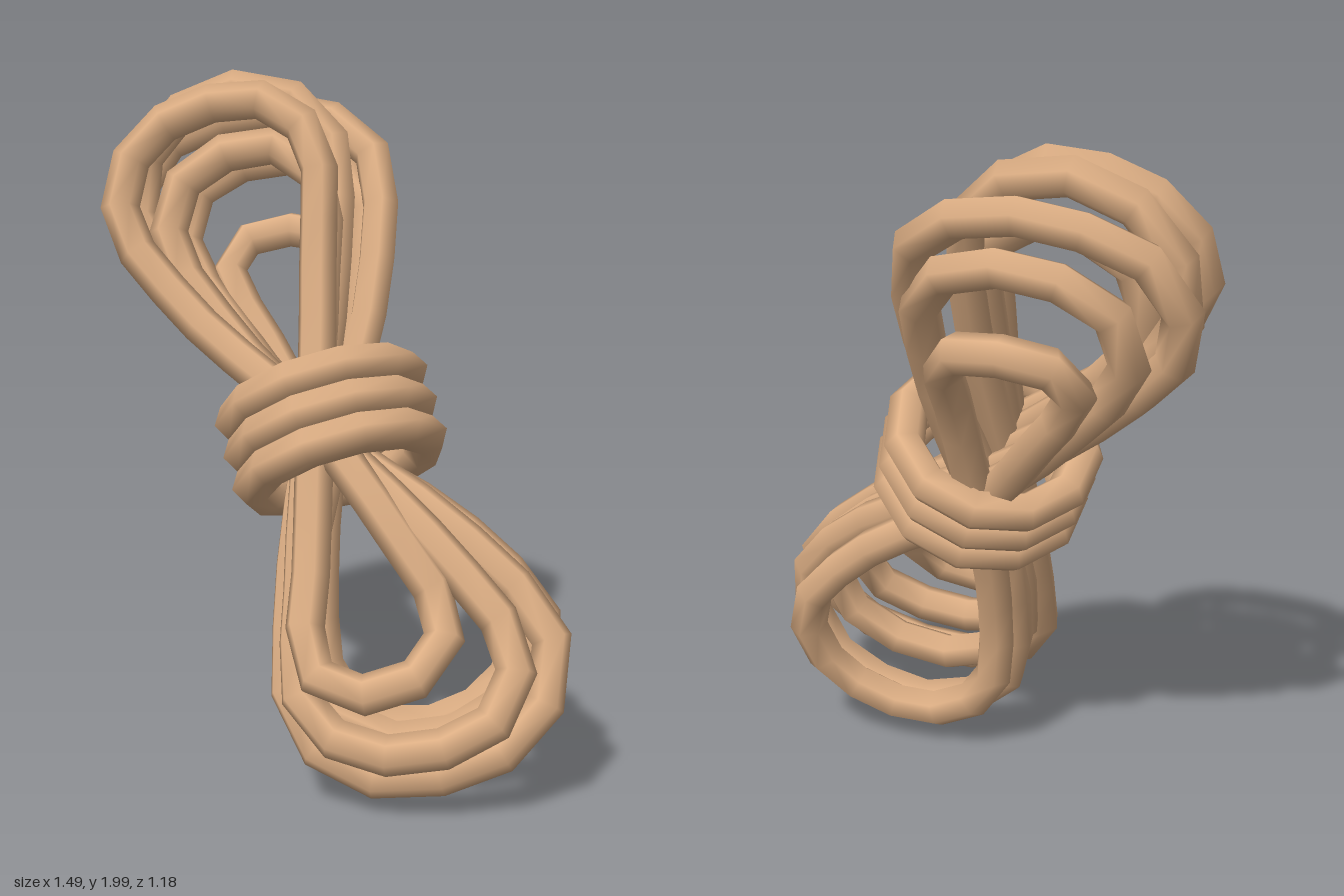
import * as THREE from 'three';

const RADIUS = 0.058;
const CENTRE = new THREE.Vector3(0, 0.975, 0);
const AXIS = new THREE.Vector3(-0.37, 0.85, -0.42).normalize(); // bundle direction
const FRONT = new THREE.Vector3(0, 0.44, 0.9).normalize();
const SIDE = new THREE.Vector3(1, 0.3, -0.15).normalize();

// Lobes from front to back: tip, outer corner, x of the upright strand
const UPPER = [
  [[-0.28, 1.92, -0.19], [-0.65, 1.58, -0.07], -0.05],
  [[-0.25, 1.78, -0.26], [-0.53, 1.5, -0.16], -0.05],
  [[-0.32, 1.94, -0.37], [-0.66, 1.56, -0.28], -0.03],
  [[-0.25, 1.86, -0.53], [-0.7, 1.54, -0.39], 0.075],
  [[-0.25, 1.72, -0.53], [-0.56, 1.46, -0.42], 0.04],
  [[-0.22, 1.49, -0.54], [-0.42, 1.37, -0.43], -0.04],
];
const LOWER = [
  [[0.17, 0.36, 0.51], [0.4, 0.54, 0.36], 0.01],
  [[0.27, 0.2, 0.53], [0.6, 0.46, 0.38], -0.02],
  [[0.25, 0.1, 0.46], [0.69, 0.46, 0.27], -0.06],
  [[0.28, 0.16, 0.32], [0.61, 0.5, 0.2], -0.04],
  [[0.28, 0.06, 0.18], [0.65, 0.46, 0.12], -0.06],
  [[0.23, 0.1, 0.04], [0.55, 0.45, -0.1], -0.04],
];

// Point in the tied waist of the bundle
function waist(front, side) {
  return CENTRE.clone().addScaledVector(FRONT, front).addScaledVector(SIDE, side);
}

// Path of one lobe: slanted strand, corner, shoulder, tip, inner shoulder, upright strand
function lobe([tipPoint, cornerPoint, strandX], slantStart, strandEnd) {
  const tip = new THREE.Vector3(...tipPoint);
  const corner = new THREE.Vector3(...cornerPoint);
  const mix = THREE.MathUtils.lerp;
  const slant = slantStart.clone().lerp(corner, 0.62);
  slant.y += 0.2 * (corner.y - tip.y);
  const shoulder = new THREE.Vector3(
    mix(corner.x, tip.x, 0.16), mix(corner.y, tip.y, 0.66), mix(corner.z, tip.z, 0.6));
  const inner = new THREE.Vector3(
    mix(strandX, tip.x, 0.2), mix(tip.y, corner.y, 0.32), mix(tip.z, strandEnd.z, 0.1));
  const strand = inner.clone().lerp(strandEnd, 0.45).setX(strandX);
  return [slant, corner, shoulder, tip, inner, strand];
}

export function createModel() {
  const group = new THREE.Group();
  const material = new THREE.MeshStandardMaterial({ color: 0xdcae84 });

  // Rope loops, each a figure eight crossing itself at the waist
  UPPER.forEach((upper, i) => {
    const depth = 0.17 - i * 0.068;
    const slanted = waist(depth, -0.03);
    const upright = waist(depth * 0.7, 0.03);
    const path = new THREE.CatmullRomCurve3([
      slanted, ...lobe(upper, slanted, upright),
      ...lobe(LOWER[i], slanted, upright).reverse(),
    ], true, 'centripetal');
    const loop = new THREE.Mesh(new THREE.TubeGeometry(path, 30, RADIUS, 6, true), material);
    loop.name = 'ropeLoop' + (i + 1);
    group.add(loop);
  });

  // Three coils binding the waist
  const coilGeometry = new THREE.TorusGeometry(0.265, 0.06, 6, 11);
  for (let i = -1; i <= 1; i++) {
    const coil = new THREE.Mesh(coilGeometry, material);
    coil.name = 'bindingCoil' + (i + 2);
    coil.quaternion.setFromUnitVectors(new THREE.Vector3(0, 0, 1), AXIS);
    coil.position.copy(CENTRE).addScaledVector(AXIS, i * 0.1);
    group.add(coil);
  }
  return group;
}
